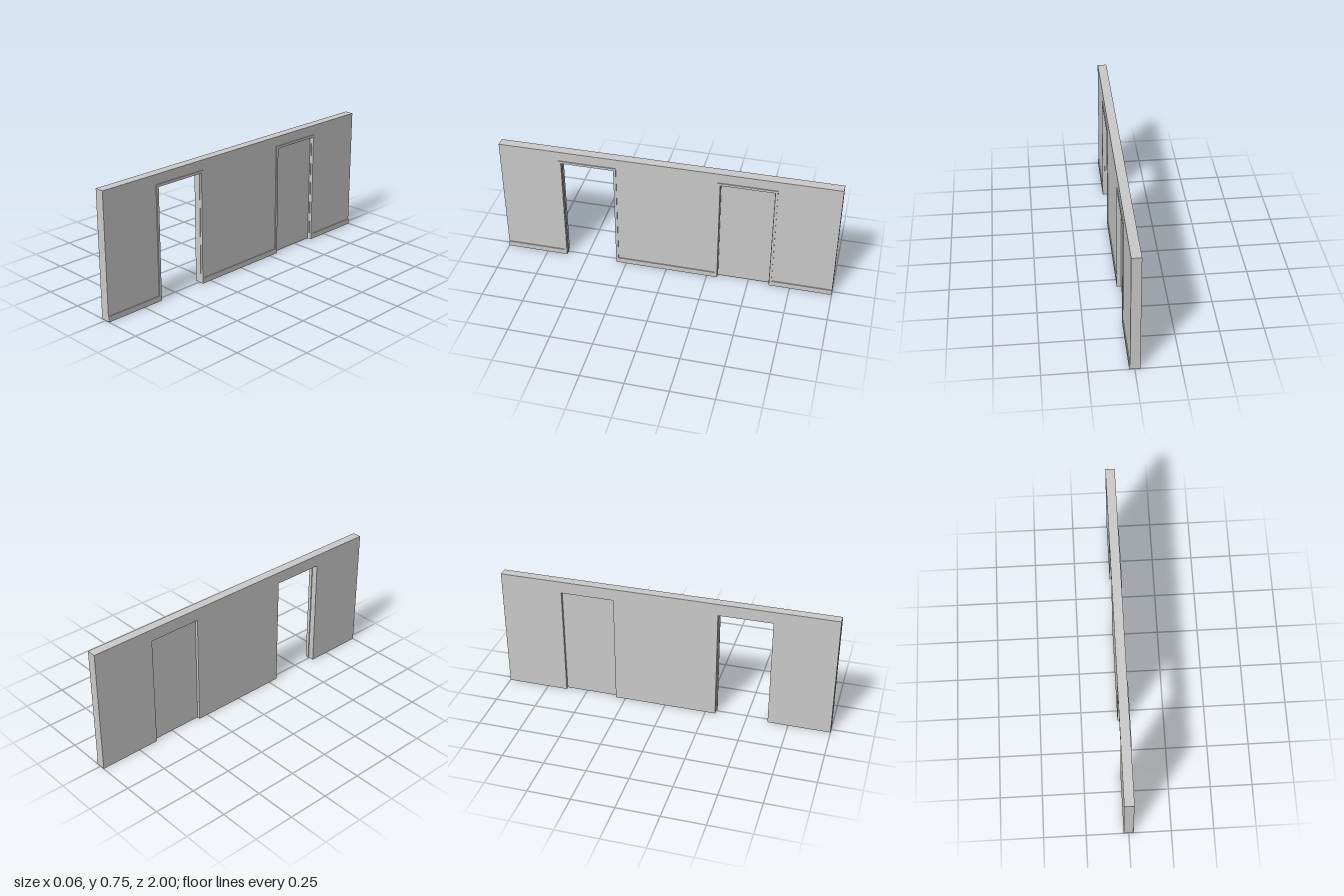
import * as THREE from 'three';

const grey = new THREE.MeshStandardMaterial({ color: 0xcccccc });

// Main dimensions
const H = 0.75, BACK = -0.03, FACE = 0.025, TRIM = 0.03;
const DOOR_Z = 0.469, HALF = 0.159, DOOR_H = 0.678, CASING = 0.013, SKIRT_H = 0.033;

// Extrude a (-z, y) outline along x between x0 and x1
function slab(name, points, x0, x1) {
  const shape = new THREE.Shape(points.map(([a, b]) => new THREE.Vector2(a, b)));
  const geo = new THREE.ExtrudeGeometry(shape, { depth: x1 - x0, bevelEnabled: false });
  geo.rotateY(Math.PI / 2).translate(x0, 0, 0);
  const mesh = new THREE.Mesh(geo, grey);
  mesh.name = name;
  return mesh;
}

// Upside-down U around a doorway: grows outward by `out`, projects inward by `inn`
function arch(name, out, inn, x0, x1) {
  const o = HALF + out, i = HALF - inn, top = DOOR_H + out, low = DOOR_H - inn;
  return slab(name, [[-o, 0], [-o, top], [o, top], [o, 0], [i, 0], [i, low], [-i, low], [-i, 0]], x0, x1);
}

function box(name, x0, x1, y0, y1, z0, z1) {
  const mesh = new THREE.Mesh(new THREE.BoxGeometry(x1 - x0, y1 - y0, z1 - z0), grey);
  mesh.name = name;
  mesh.position.set((x0 + x1) / 2, (y0 + y1) / 2, (z0 + z1) / 2);
  return mesh;
}

export function createModel() {
  const model = new THREE.Group();
  model.name = 'wallWithDoorways';

  // Wall with two doorways notched up from the floor
  const outline = [[-1, 0], [-1, H], [1, H], [1, 0]];
  for (const c of [DOOR_Z, -DOOR_Z]) {
    outline.push([c + HALF, 0], [c + HALF, DOOR_H], [c - HALF, DOOR_H], [c - HALF, 0]);
  }
  model.add(slab('wall', outline, BACK, FACE));

  // Casing on the trimmed side, and a stepped lining inside each doorway
  for (const z of [DOOR_Z, -DOOR_Z]) {
    const frame = new THREE.Group();
    frame.name = 'doorFrame';
    frame.position.z = z;
    frame.add(
      arch('casing', CASING, 0.002, FACE, TRIM),
      arch('lining', 0, 0.002, 0.016, FACE),
      arch('doorStop', 0, 0.005, 0.006, 0.016)
    );
    model.add(frame);
  }

  // Skirting runs between the casings and out to both ends
  const inner = DOOR_Z - HALF - CASING, outer = DOOR_Z + HALF + CASING;
  for (const [z0, z1] of [[-1, -outer], [-inner, inner], [outer, 1]]) {
    model.add(box('skirting', FACE, TRIM, 0, SKIRT_H, z0, z1));
  }

  // Closed door leaf, recessed from both faces, in the rear doorway
  model.add(box('door', -0.012, 0.006, 0.002, DOOR_H, -DOOR_Z - HALF, -DOOR_Z + HALF));

  return model;
}
